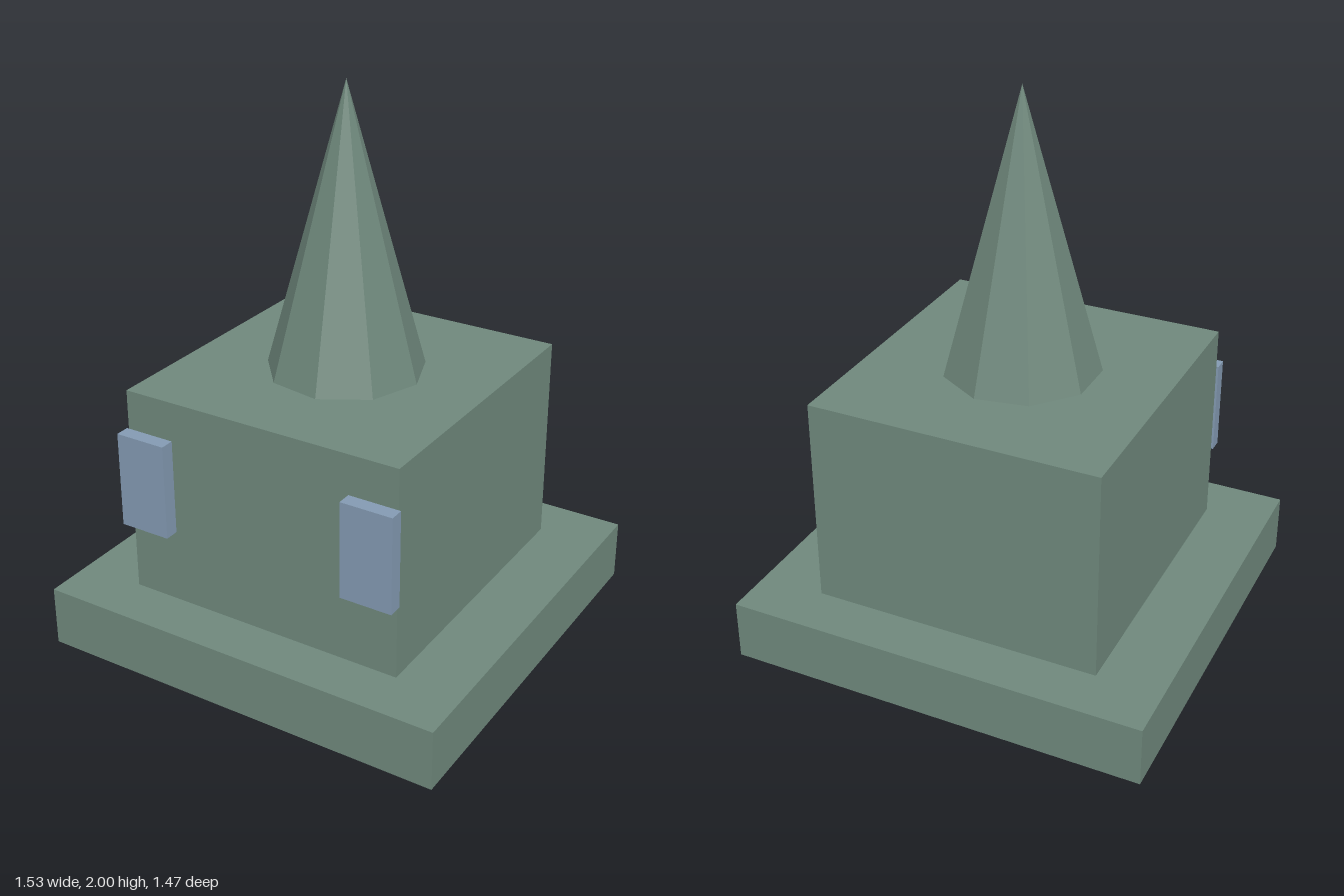
import * as THREE from 'three';

export function createModel() {
  const model = new THREE.Group();
  const stone = new THREE.MeshStandardMaterial({ color: 0x6f887c, flatShading: true });
  stone.name = 'grey green stone';
  const glass = new THREE.MeshStandardMaterial({ color: 0x839ab2, flatShading: true });
  glass.name = 'blue glass';

  const add = (name, geometry, material, x, y, z) => {
    const mesh = new THREE.Mesh(geometry, material);
    mesh.name = name;
    mesh.position.set(x, y, z);
    model.add(mesh);
  };
  // Box standing on the height y
  const box = (name, w, h, d, material, x, y, z) =>
    add(name, new THREE.BoxGeometry(w, h, d), material, x, y + h / 2, z);

  // Plinth and main block
  box('plinth', 1.53, 0.22, 1.47, stone, 0, 0, 0);
  box('body', 1.056, 0.766, 1.1, stone, 0, 0.22, 0);

  // Nine-sided spire with one corner pointing to +x
  const spireHeight = 2 - 0.986;
  add('spire', new THREE.ConeGeometry(0.28, spireHeight, 9, 1, false, Math.PI / 2),
    stone, 0, 0.986 + spireHeight / 2, 0);

  // Pair of raised windows on the front
  for (const [name, side] of [['leftWindow', 1], ['rightWindow', -1]]) {
    box(name, 0.19, 0.35, 0.052, glass, side * 0.441, 0.492, 0.576);
  }
  return model;
}
